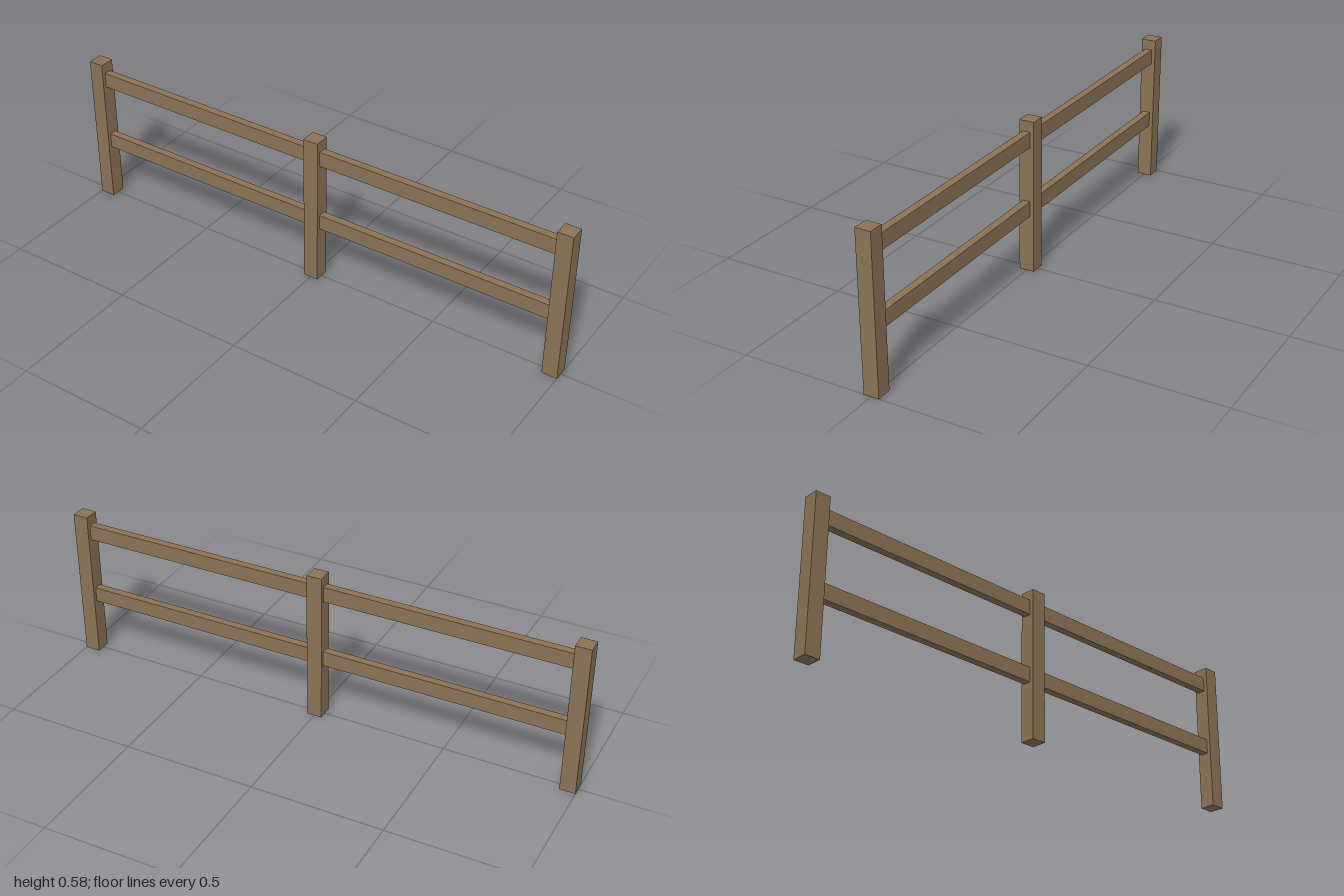
import * as THREE from 'three';

export function createModel() {
  const fence = new THREE.Group();
  fence.name = 'fence';
  const wood = new THREE.MeshStandardMaterial({ color: 0x8b7355, flatShading: true });

  const postSize = 0.058, postHeight = 0.584;
  const railHeight = 0.058, railDepth = 0.029;
  const postSpacing = 1 - postSize / 2;

  function addBeam(name, size, position) {
    const beam = new THREE.Mesh(new THREE.BoxGeometry(...size), wood);
    beam.name = name;
    beam.position.set(...position);
    fence.add(beam);
  }

  // Three upright square posts
  for (const [side, label] of [[-1, 'right'], [0, 'middle'], [1, 'left']]) {
    addBeam(`${label}Post`, [postSize, postHeight, postSize], [side * postSpacing, postHeight / 2, 0]);
  }

  // Two rails in each bay, butted between the posts
  const railLength = postSpacing - postSize;
  for (const [side, label] of [[-1, 'right'], [1, 'left']]) {
    for (const [y, level] of [[0.248, 'Lower'], [0.515, 'Upper']]) {
      addBeam(`${label}${level}Rail`, [railLength, railHeight, railDepth], [side * postSpacing / 2, y, 0]);
    }
  }

  return fence;
}
